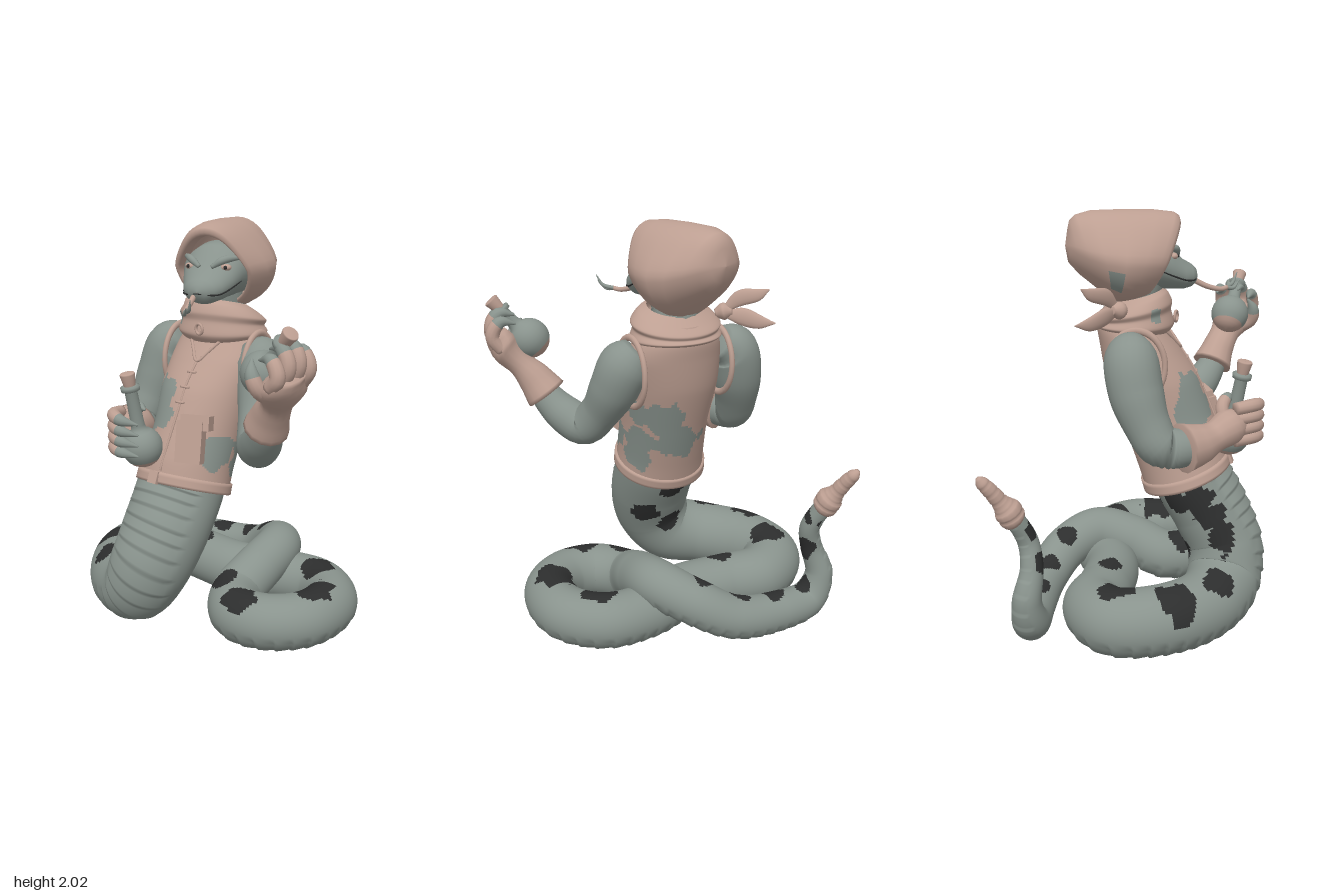
import * as THREE from 'three';

const mat = (name, color) => {
  const m = new THREE.MeshStandardMaterial({ color, side: THREE.DoubleSide });
  m.name = name;
  return m;
};
const skin = mat('grey scales', 0x89938d), cloth = mat('dusty cloth', 0xbd9f92), dark = mat('dark markings', 0x2d2e2e);
const V = (x, y, z) => new THREE.Vector3(x, y, z);
const TAU = Math.PI * 2;

// One closed ring of points spanned by two half axes
const ring = (c, n, b, seg, f) => Array.from({ length: seg }, (_, j) => {
  const a = j / seg * TAU, k = f ? f(a) : 1;
  return c.clone().addScaledVector(n, Math.cos(a) * k).addScaledVector(b, Math.sin(a) * k);
});

// Joins rings into a smooth surface; pick() chooses the material of each quad
function hull(name, rows, mats, pick = () => 0) {
  mats = [].concat(mats);
  const seg = rows[0].length, faces = mats.map(() => []);
  for (let i = 0; i < rows.length - 1; i++) for (let j = 0; j < seg; j++) {
    const k = (j + 1) % seg, a = i * seg + j, b = i * seg + k, c = b + seg, d = a + seg;
    const mid = rows[i][j].clone().add(rows[i + 1][k]).multiplyScalar(0.5);
    faces[pick(mid, i, j / seg * TAU)].push(a, b, c, a, c, d);
  }
  const g = new THREE.BufferGeometry().setFromPoints(rows.flat());
  g.setIndex(faces.flat());
  let start = 0;
  faces.forEach((f, i) => { g.addGroup(start, f.length, i); start += f.length; });
  g.computeVertexNormals();
  const mesh = new THREE.Mesh(g, mats.length > 1 ? mats : mats[0]);
  mesh.name = name;
  return mesh;
}

// Tapered tube through points [x, y, z, radius, flatness]
function sweep(name, pts, mats, { rings = 20, seg = 14, ref = () => V(0.13, 1, 0.21), pick, shape } = {}) {
  const path = new THREE.CatmullRomCurve3(pts.map(p => V(p[0], p[1], p[2])));
  const size = new THREE.CatmullRomCurve3(pts.map(p => V(p[3], p[4] ?? 1, 0)), false, 'catmullrom', 0.4);
  path.arcLengthDivisions = 1500;
  const rows = [];
  for (let i = 0; i <= rings; i++) {
    const t = path.getUtoTmapping(i / rings), c = path.getPoint(t), d = path.getTangent(t), s = size.getPoint(t);
    const r = Math.max(s.x, 0.001), n = ref(t).clone();
    n.addScaledVector(d, -n.dot(d)).normalize();
    const b = d.clone().cross(n);
    const row = ring(c, n.multiplyScalar(r), b.multiplyScalar(r * s.y), seg, shape && (a => shape(a, i)));
    if (i === 0) rows.push(row.map(() => c.clone()));
    rows.push(row);
    if (i === rings) rows.push(row.map(() => c.clone()));
  }
  return hull(name, rows, mats, pick);
}

// Upright garment surface from sections [x, y, z, half width, half depth, front lift]
const yaw = 0.3, AX = V(Math.cos(yaw), 0, -Math.sin(yaw)), AZ = V(Math.sin(yaw), 0, Math.cos(yaw));
function garment(sections) {
  const c = new THREE.CatmullRomCurve3(sections.map(s => V(s[0], s[1], s[2])), false, 'catmullrom', 0.4);
  const s = new THREE.CatmullRomCurve3(sections.map(q => V(q[3], q[4], q[5])), false, 'catmullrom', 0.4);
  const row = (t, k = 1, seg = 64) => {
    const q = s.getPoint(t), n = AX.clone().multiplyScalar(q.x * k), b = AZ.clone().multiplyScalar(-q.y * k);
    b.y = -q.z;
    return ring(c.getPoint(t), n, b, seg);
  };
  const rows = (t0, t1, n, k, seg) => Array.from({ length: n + 1 }, (_, i) => row(t0 + (t1 - t0) * i / n, k, seg));
  return { row, rows };
}

// Irregular blotches given as [x, y, z, radius]
const blotched = (list, p) => list.some(([x, y, z, r]) =>
  p.distanceTo(V(x, y, z)) * (1 + 0.12 * Math.sin(p.x * 50 + p.z * 34) + 0.08 * Math.sin(p.z * 60 - p.y * 45)) < r);

function snakeBody() {
  const pts = [[-.03, .85, .16, .185, 1.15], [-.025, .7, .22, .195, 1.16], [-.01, .52, .32, .195, 1.14], [-.03, .34, .405, .19, 1.08],
    [-.12, .2, .42, .185], [-.32, .155, .385, .17], [-.53, .15, .23, .165], [-.61, .145, .02, .16], [-.5, .14, -.13, .15], [-.3, .135, -.15, .14],
    [-.05, .13, -.2, .14], [.15, .125, -.33, .135], [.37, .13, -.385, .135], [.55, .135, -.28, .135], [.6, .135, -.06, .135],
    [.5, .13, .1, .135], [.33, .125, .14, .135], [.18, .14, .02, .13], [.15, .22, -.15, .125], [.1, .27, -.33, .12],
    [-.05, .22, -.45, .115], [-.25, .13, -.49, .108], [-.5, .1, -.44, .1], [-.68, .12, -.38, .09], [-.735, .25, -.37, .07],
    [-.69, .4, -.36, .055], [-.665, .52, -.385, .05], [-.715, .66, -.43, .045]];
  // The belly faces forward on the raised part, then down and outward on the coils
  const belly = new THREE.CatmullRomCurve3(pts.map(([x, , z], i) => {
    if (i < 3) return V(.3, 0, 1);
    if (i < 5) return i === 3 ? V(.3, -.3, .9) : V(0, -.7, .6);
    if (i > 22) return i === 23 ? V(-.6, -.7, 0) : V(-1, 0, -.3);
    const [cx, cz] = i < 11 ? [-.25, .1] : i < 19 ? [.37, -.1] : [-.3, -.1];
    const o = V(x - cx, 0, z - cz).setLength(.6);
    return V(o.x, -1, o.z);
  }));
  const spots = [[-.58, .29, .02, .09], [-.57, .29, .3, .09], [-.61, .23, .35, .06], [-.36, .3, .46, .08], [-.28, .28, -.12, .06], [-.53, .14, .38, .04],
    [-.19, .46, .42, .075], [-.2, .56, .37, .07], [-.21, .65, .31, .075], [-.24, .62, .2, .07], [-.18, .36, .42, .05],
    [-.07, .6, .06, .08], [.06, .42, .16, .07], [-.1, .33, .22, .07],
    [.39, .26, -.34, .085], [.57, .26, -.13, .1], [.4, .25, .19, .085], [.18, .25, .12, .075], [.1, .25, -.2, .04], [-.1, .3, -.43, .06],
    [-.28, .22, -.46, .05], [-.47, .19, -.43, .06], [-.65, .19, -.39, .05], [-.67, .42, -.36, .07], [-.69, .58, -.4, .055]];
  return sweep('snakeBody', pts, [skin, dark], {
    rings: 700, seg: 56, ref: t => belly.getPoint(t),
    shape: (a, i) => Math.cos(a) > (i < 120 ? .55 : .72) ? 0.965 + 0.05 * (i % 8) / 7 : 1,
    pick: (p, i, a) => Math.cos(a) < .45 && blotched(spots, p) ? 1 : 0,
  });
}

function head() {
  const g = new THREE.Group();
  g.name = 'head';
  const sec = (list, dir, f) => list.map(([z, y, rx, ry, lean = 0]) => ring(V(0, y, z), V(0, ry, lean * ry), V(dir * rx, 0, 0), 48, f));
  g.add(hull('skull', sec([[-.1, 0, .13, .13], [.04, .01, .163, .14], [.13, .005, .152, .13], [.19, -.03, .128, .1],
    [.25, -.06, .1, .072], [.29, -.066, .078, .056], [.315, -.067, .045, .035], [.322, -.067, .001, .001]], -1), skin));
  // Hood with a rolled rim, a peaked crown and a blunt point at the back
  const peaked = a => 1 - .28 * Math.max(0, Math.cos(a)) * Math.sin(a) ** 2;
  g.add(hull('hood', sec([[.06, .015, .165, .165, .5], [.135, .015, .176, .168, .5], [.145, .015, .186, .182, .5], [.13, .02, .196, .2, .5],
    [.1, .025, .214, .21, .5], [.03, .03, .241, .217, .35], [-.06, .035, .252, .215, .1], [-.15, .045, .225, .202, -.2],
    [-.22, .06, .178, .168, -.25], [-.27, .078, .128, .125, -.15], [-.298, .085, .078, .078], [-.312, .085, .001, .001]], 1, peaked), [cloth, skin],
  p => blotched([[-.2, -.06, -.11, .05]], p) ? 1 : 0));
  for (const s of [-1, 1]) {
    const eye = new THREE.Mesh(new THREE.SphereGeometry(.028, 16, 12), cloth);
    eye.name = 'eye';
    eye.position.set(s * .09, .037, .187);
    eye.scale.set(1, .6, .8);
    const pupil = new THREE.Mesh(new THREE.SphereGeometry(.009, 10, 8), dark);
    pupil.name = 'pupil';
    pupil.position.set(s * .095, .038, .206);
    g.add(eye, pupil);
    g.add(sweep('brow', [[s * .03, .038, .222, .01], [s * .08, .07, .2, .018], [s * .14, .08, .13, .01]], skin));
    g.add(sweep('mouthLine', [[s * .146, -.03, .13, .003], [s * .124, -.056, .19, .004], [s * .098, -.078, .25, .004],
      [s * .074, -.082, .292, .004], [0, -.075, .323, .003]], dark, { seg: 6 }));
  }
  g.position.set(-.06, 1.75, -.08);
  g.rotation.y = .5;
  return g;
}

// Round flask with corked neck, standing from base towards top
function flask(name, base, top) {
  const g = new THREE.Group(), dir = top.clone().sub(base), L = dir.length();
  g.name = name;
  const part = (n, prof, m) => {
    const mesh = new THREE.Mesh(new THREE.LatheGeometry(prof.map(p => new THREE.Vector2(p[0], p[1])), 28), m);
    mesh.name = n;
    g.add(mesh);
  };
  const bulb = Array.from({ length: 13 }, (_, i) => [.1 * Math.sin(i / 12 * 2.75), -.1 * Math.cos(i / 12 * 2.75)]);
  part('liquid', bulb.slice(0, 5), cloth);
  part('glass', [...bulb.slice(4), [.033, .115], [.03, L - .09], [.045, L - .085], [.047, L - .065], [.032, L - .06], [.001, L - .06]], skin);
  part('cork', [[.028, L - .06], [.037, L - .005], [.034, L], [.001, L]], cloth);
  g.position.copy(base);
  g.quaternion.setFromUnitVectors(V(0, 1, 0), dir.normalize());
  return g;
}

export function createModel() {
  const model = new THREE.Group();
  const add = (...m) => model.add(...m);
  add(snakeBody(), head());
  add(sweep('rattle', [[-.705, .63, -.42, .045], [-.715, .65, -.43, .062], [-.735, .7, -.45, .064], [-.755, .74, -.47, .042],
    [-.785, .8, -.5, .036], [-.812, .85, -.53, .03], [-.828, .875, -.54, .012]], cloth, { rings: 36, shape: (a, i) => i % 6 ? 1 : .9 }));
  add(sweep('neck', [[-.05, 1.42, -.08, .11], [-.05, 1.58, -.06, .115], [-.04, 1.72, -.02, .11]], skin));

  // Vest with worn patches, hem belt and front seam
  const vest = garment([[-.03, .7, .2, .235, .205, .075], [-.03, .82, .165, .228, .21, .07], [-.03, 1, .095, .225, .22, .03],
    [-.04, 1.2, .02, .243, .225, 0], [-.04, 1.35, -.04, .245, .2, -.02], [-.05, 1.45, -.08, .215, .17, -.01], [-.05, 1.53, -.08, .15, .14, 0]]);
  const patches = [[-.11, 1.16, .25, .1], [-.18, 1.06, .25, .09], [-.16, .98, .28, .06], [-.07, 1.08, .29, .07], [.2, .92, .16, .09], [.13, .82, 0, .08],
    [.02, 1.07, -.12, .1], [.1, .93, -.02, .09], [-.06, .92, -.08, .1], [-.15, .94, 0, .07], [.14, 1.08, -.08, .07]];
  add(hull('vest', vest.rows(0, 1, 90, 1, 110), [cloth, skin], p => blotched(patches, p) ? 1 : 0));
  add(hull('hemBelt', [vest.row(0, .98), ...vest.rows(0, .075, 4, 1.05), vest.row(.08, .98)], cloth));
  const front = (t, k, a = 48) => vest.row(t, k)[a];
  const line = (name, list, r) => add(sweep(name, list.map(p => [p.x, p.y, p.z, r]), cloth, { seg: 8 }));
  line('frontSeam', [.09, .25, .4, .55, .68].map(t => front(t, 1.003)), .006);
  line('collarSeam', [[.82, 44], [.75, 46], [.68, 48], [.75, 50], [.82, 52]].map(([t, a]) => front(t, 1.01, a)), .008);
  [.45, .53, .61].forEach(t => line('lacing', [47, 48, 49].map(a => front(t, 1.02, a)), .006));
  const box = (name, p, w, h, d, ry, rx) => {
    const b = new THREE.Mesh(new THREE.BoxGeometry(w, h, d), cloth);
    b.name = name;
    b.position.copy(p);
    b.rotation.set(rx, ry, 0, 'YXZ');
    add(b);
  };
  box('pocket', front(.28, 1.0, 53), .13, .2, .07, .55, -.2);
  box('pocketFlap', front(.38, 1.03, 53), .145, .07, .07, .55, -.2);
  box('buckle', front(.04, 1.05, 47), .055, .06, .02, .2, -.4);

  // Wrapped cowl sloping down to the back, its knot and two loose ends
  const cowl = garment([[-.05, 1.43, -.07, .2, .17, -.01], [-.05, 1.46, -.07, .23, .195, 0], [-.05, 1.5, -.07, .215, .18, .025],
    [-.05, 1.53, -.07, .226, .185, .035], [-.05, 1.57, -.06, .19, .155, .04], [-.05, 1.6, -.05, .14, .12, .03]]);
  add(hull('cowl', cowl.rows(0, 1, 30), [cloth, skin], p => blotched([[-.18, 1.52, .09, .035]], p) ? 1 : 0));
  add(sweep('knot', [[-.25, 1.55, -.05, .02], [-.29, 1.56, -.06, .042], [-.33, 1.565, -.08, .02]], cloth));
  add(sweep('looseEndUpper', [[-.29, 1.57, -.07, .015, .4], [-.36, 1.63, -.1, .038, .4], [-.43, 1.65, -.14, .03, .4], [-.48, 1.68, -.17, .003, .4]], cloth));
  add(sweep('looseEndLower', [[-.29, 1.55, -.07, .015, .4], [-.37, 1.54, -.1, .042, .4], [-.44, 1.52, -.14, .035, .4], [-.51, 1.52, -.19, .003, .4]], cloth));
  const pendant = new THREE.Mesh(new THREE.TorusGeometry(.025, .007, 8, 20), cloth);
  pendant.name = 'pendant';
  pendant.position.set(.01, 1.49, .125);
  add(pendant);

  // Arms and armhole trims
  add(sweep('rightArm', [[-.28, 1.4, -.01, .08], [-.36, 1.35, .02, .125], [-.4, 1.2, .06, .127], [-.42, 1.06, .12, .108],
    [-.42, .97, .18, .1], [-.36, .95, .27, .09], [-.29, .96, .34, .07]], skin, { rings: 40, seg: 24, ref: () => V(-.5, .2, -1) }));
  add(sweep('leftArm', [[.14, 1.4, -.1, .08], [.2, 1.34, -.1, .125], [.25, 1.22, -.07, .122], [.31, 1.08, 0, .1], [.385, .985, .07, .1],
    [.47, 1.03, .12, .095], [.54, 1.1, .16, .08], [.6, 1.19, .19, .06]], skin, { rings: 40, seg: 24, ref: () => V(.3, .2, -1) }));
  for (const [x, z] of [[-.285, .02], [.175, -.11]]) {
    const trim = new THREE.Mesh(new THREE.TorusGeometry(.135, .014, 10, 36), cloth);
    trim.name = 'armholeTrim';
    trim.position.set(x, 1.3, z);
    trim.rotation.y = Math.PI / 2 + yaw;
    trim.scale.y = 1.25;
    add(trim);
  }

  // Gloved hands: bare clawed fingertips wrap around the flasks
  const finger = (pts, r) => add(sweep('finger', pts.map((p, i) => [...p, r * [1, 1.05, .9, .15][i]]), [cloth, skin],
    { rings: 18, seg: 12, ref: () => V(.1, .4, 1), pick: (p, i) => i > 11 ? 1 : 0 }));
  add(flask('rightFlask', V(-.06, .94, .42), V(-.07, 1.31, .49)), flask('leftFlask', V(.62, 1.4, .25), V(.8, 1.6, .26)));
  add(sweep('rightGlove', [[-.37, .95, .27, .118], [-.3, .955, .33, .098], [-.23, .975, .385, .075], [-.16, 1.01, .44, .088], [-.1, 1.03, .46, .06]], cloth));
  add(sweep('leftGlove', [[.555, 1.13, .17, .105], [.61, 1.21, .19, .085], [.67, 1.28, .21, .066, 1.2], [.74, 1.36, .24, .078, 1.55],
    [.785, 1.43, .25, .055, 1.9]], cloth));
  for (let i = 0; i < 4; i++) {
    const y = 1.11 - i * .052, z = .16 + i * .058, h = [0, .03, .02, -.02][i];
    finger([[-.17, y - .01, .47], [-.11, y, .545], [-.04, y - .01, .555], [.025, y - .03, .5]], .031);
    finger([[.76, 1.37, z], [.805, 1.44 + h, z], [.765, 1.51 + h, z], [.69, 1.5 + h, z]], .033);
  }
  finger([[-.17, 1.03, .42], [-.14, 1.1, .4], [-.09, 1.13, .41], [-.03, 1.13, .42]], .03);
  finger([[.7, 1.31, .28], [.7, 1.36, .35], [.68, 1.42, .365], [.65, 1.48, .34]], .034);

  // Forked tongue
  add(sweep('tongue', [[.05, 1.68, .17, .014], [.1, 1.63, .25, .013], [.15, 1.61, .31, .012], [.18, 1.615, .335, .011]], cloth));
  add(sweep('tongueFork', [[.175, 1.614, .33, .01], [.23, 1.63, .35, .009], [.26, 1.68, .365, .002]], skin));
  add(sweep('tongueFork', [[.175, 1.614, .33, .01], [.21, 1.61, .36, .009], [.25, 1.645, .38, .002]], skin));
  return model;
}
